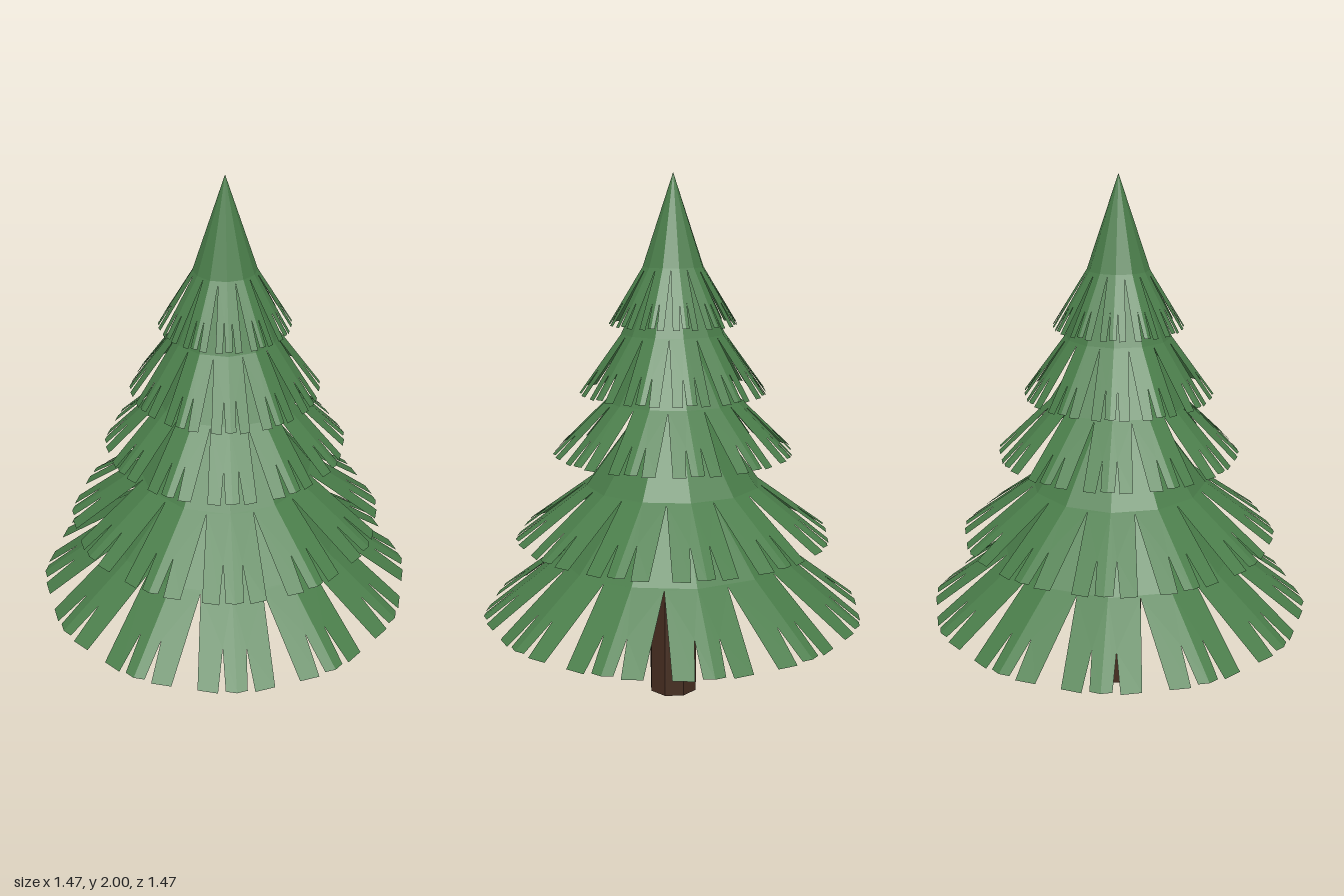
import * as THREE from 'three';
import { mergeGeometries } from 'three/addons/utils/BufferGeometryUtils.js';

const SIDES = 12;
const STEP = (Math.PI * 2) / SIDES;

// Each tier: [radius, height] at its top, at its bend and at its fringe tips
const TIERS = [
  [[0, 2.0], [0.115, 1.66], [0.242, 1.455]],
  [[0.06, 1.72], [0.197, 1.415], [0.355, 1.2]],
  [[0.09, 1.43], [0.258, 1.165], [0.458, 0.972]],
  [[0.1, 1.16], [0.335, 0.845], [0.605, 0.648]],
  [[0.1, 0.95], [0.45, 0.565], [0.735, 0.35]],
];

// Flat outline of one facet's fringe: u across, -t down
function fringeShape() {
  const right = [[0.625, 1.03], [0.82, 1.03], [0.86, 0.58], [0.893, 1], [1, 1], [1, 0]];
  const left = right.map(([u, t]) => [1 - u, t]).reverse();
  const outline = [...left, [0.5, 0.03], ...right];
  return new THREE.Shape(outline.map(([u, t]) => new THREE.Vector2(u, -t)));
}

function plainShape() {
  return new THREE.Shape([[0, 0], [0, -1], [1, -1], [1, 0]].map(([u, t]) => new THREE.Vector2(u, t)));
}

// Wraps a flat outline onto one facet of a cone band
function wrapOnFacet(shape, index, [r0, y0], [r1, y1]) {
  const geometry = new THREE.ShapeGeometry(shape).toNonIndexed();
  const p = geometry.attributes.position;
  const a = index * STEP, b = a + STEP;
  for (let i = 0; i < p.count; i++) {
    const u = p.getX(i), t = -p.getY(i);
    const r = r0 + (r1 - r0) * t;
    p.setXYZ(i,
      r * (Math.sin(a) * (1 - u) + Math.sin(b) * u),
      y0 + (y1 - y0) * t,
      r * (Math.cos(a) * (1 - u) + Math.cos(b) * u));
  }
  geometry.computeVertexNormals();
  return geometry;
}

export function createModel() {
  const tree = new THREE.Group();
  tree.name = 'pineTree';
  const needles = new THREE.MeshStandardMaterial({ name: 'needle green', color: 0x497c49, flatShading: true, side: THREE.DoubleSide });
  const bark = new THREE.MeshStandardMaterial({ name: 'bark brown', color: 0x452d20, flatShading: true });

  // Trunk, hidden inside the upper tiers
  const trunk = new THREE.Mesh(new THREE.CylinderGeometry(0.095, 0.095, 1.25, 8), bark);
  trunk.name = 'trunk';
  trunk.position.y = 0.625;
  tree.add(trunk);

  // Branch tiers: a plain cone band above, a cut fringe below
  const fringe = fringeShape(), plain = plainShape();
  TIERS.forEach(([top, bend, tip], n) => {
    const parts = [];
    for (let i = 0; i < SIDES; i++) {
      parts.push(wrapOnFacet(plain, i, top, bend), wrapOnFacet(fringe, i, bend, tip));
    }
    const tier = new THREE.Mesh(mergeGeometries(parts), needles);
    tier.name = `branchTier${n + 1}`;
    tree.add(tier);
  });

  return tree;
}
